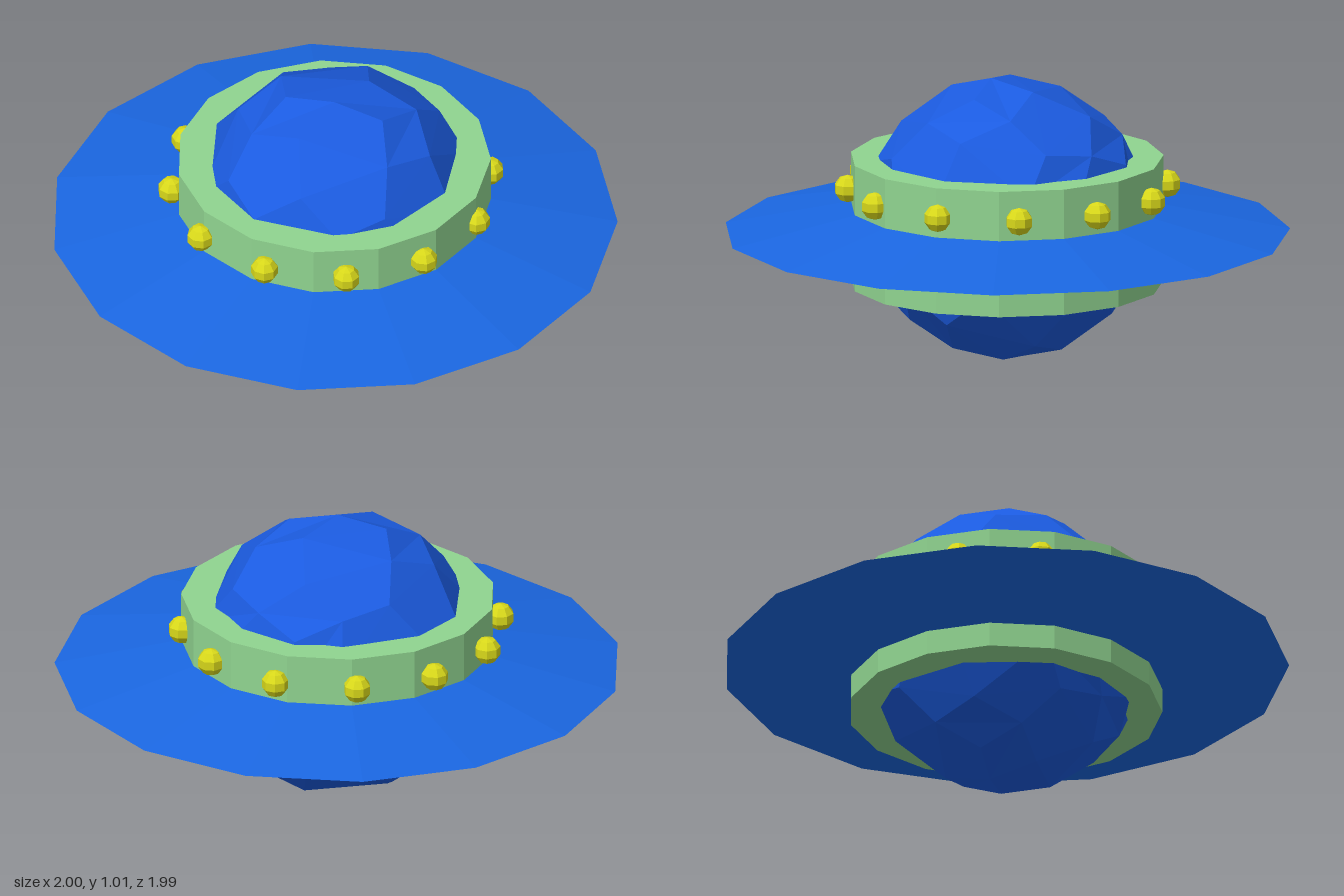
import * as THREE from 'three';

const SIDES = 15;
const BULBS = 12;

function part(name, geometry, color) {
  const material = new THREE.MeshStandardMaterial({ color, flatShading: true });
  const mesh = new THREE.Mesh(geometry, material);
  mesh.name = name;
  return mesh;
}

export function createModel() {
  const saucer = new THREE.Group();
  saucer.name = 'saucer';
  saucer.position.z = 0.011; // odd number of sides: recentre the bounds

  // Faceted ball forming the dome and the belly
  const ball = part('ball', new THREE.DodecahedronGeometry(0.508, 1), 0x1b5be0);
  ball.position.y = 0.509;
  ball.rotation.set(0.1, 0, -0.04);
  saucer.add(ball);

  // Wide disc: a shallow double cone with a sharp rim
  const profile = [[0, 0.245], [1.0055, 0.455], [0, 0.665]].map(([x, y]) => new THREE.Vector2(x, y));
  saucer.add(part('disc', new THREE.LatheGeometry(profile, SIDES, Math.PI), 0x1a66e0));

  // Closed collar standing out above and below the disc
  const collar = part('collar',
    new THREE.CylinderGeometry(0.557, 0.557, 0.455, SIDES, 1, false, Math.PI), 0x90d490);
  collar.position.y = 0.5;
  saucer.add(collar);

  // Lamps spaced around the collar, each with a facet facing outward
  const lampGeometry = new THREE.SphereGeometry(0.05, 8, 5).rotateY(Math.PI / 8);
  const lamps = new THREE.Group();
  lamps.name = 'lamps';
  lamps.position.set(-0.01, 0.62, 0);
  for (let i = 0; i < BULBS; i++) {
    const angle = -0.09 + (i / BULBS) * Math.PI * 2;
    const lamp = part('lamp', lampGeometry, 0xd8d81a);
    lamp.position.set(0.567 * Math.sin(angle), 0, 0.567 * Math.cos(angle));
    lamp.rotation.y = angle;
    lamps.add(lamp);
  }
  saucer.add(lamps);

  const model = new THREE.Group();
  model.add(saucer);
  return model;
}
